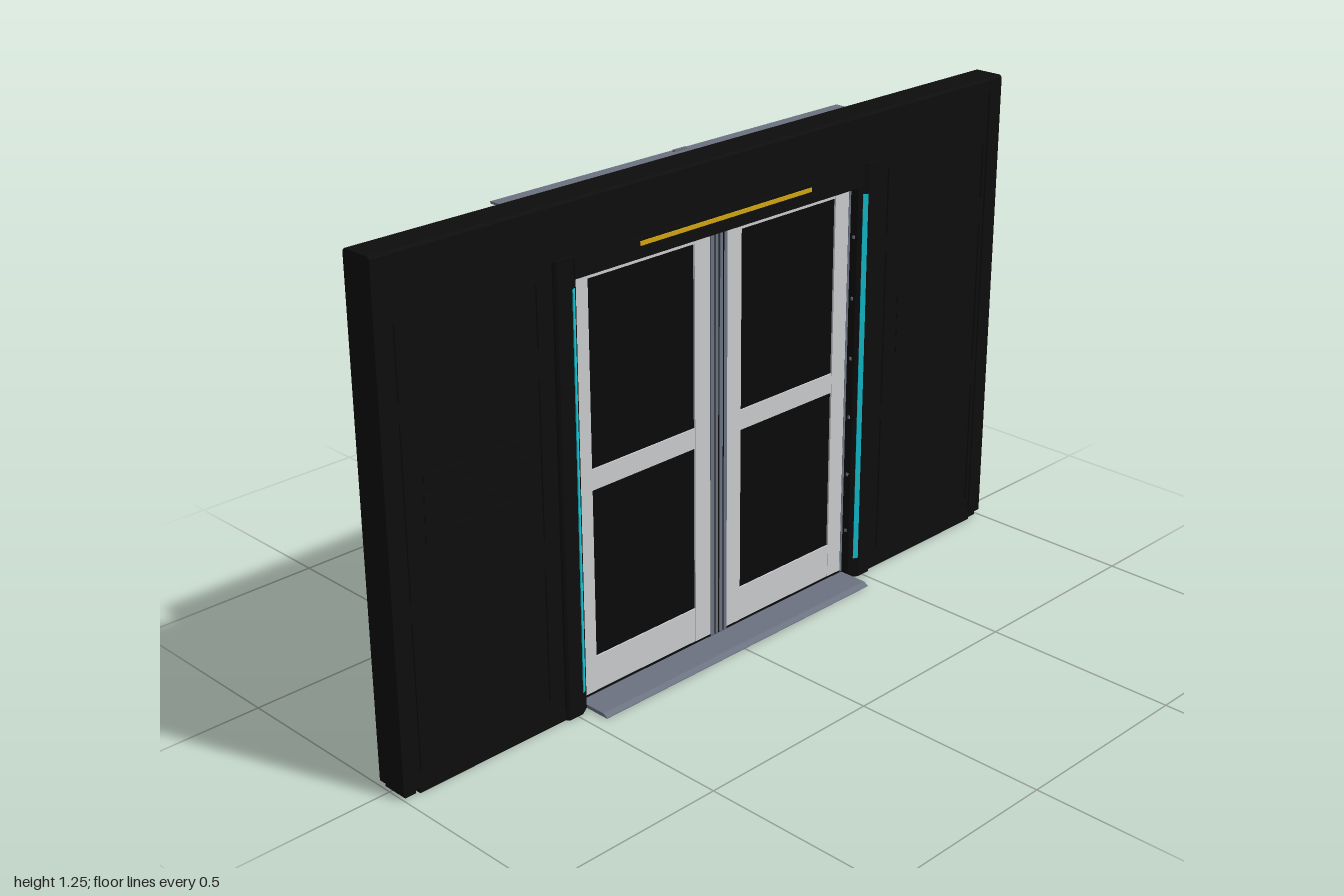
import * as THREE from 'three';

const mat = (name, color) => Object.assign(new THREE.MeshStandardMaterial({ color }), { name });

export function createModel() {
  const black = mat('wall black', 0x0d0d0e);
  const glass = mat('dark glass', 0x090a0a);
  const silver = mat('door silver', 0xcacbce);
  const steel = mat('blue steel', 0x6b7280);
  const cyan = mat('cyan light', 0x14c3d2);
  const yellow = mat('yellow light', 0xd2a50f);

  const root = new THREE.Group();
  root.name = 'slidingDoorWall';
  const body = new THREE.Group();
  body.name = 'wallAssembly';
  body.position.z = 0.01; // mid-plane of the wall
  root.add(body);

  const add = (name, geo, m) => {
    const mesh = new THREE.Mesh(geo, m);
    mesh.name = name;
    body.add(mesh);
    return mesh;
  };
  // box given by its extents
  const box = (name, m, x0, x1, y0, y1, z0, z1) => {
    const a = Math.min(x0, x1), b = Math.max(x0, x1), c = Math.min(z0, z1), d = Math.max(z0, z1);
    const g = new THREE.BoxGeometry(b - a, y1 - y0, d - c);
    g.translate((a + b) / 2, (y0 + y1) / 2, (c + d) / 2);
    return add(name, g, m);
  };
  const shapeOf = (pts) => new THREE.Shape(pts.map(([x, y]) => new THREE.Vector2(x, y)));
  // upright prism from an x/z outline
  const prism = (name, m, pts, y0, y1) => {
    const g = new THREE.ExtrudeGeometry(shapeOf(pts.map(([x, z]) => [x, -z])), { depth: y1 - y0, bevelEnabled: false });
    g.rotateX(-Math.PI / 2).translate(0, y0, 0);
    return add(name, g, m);
  };
  // bar along x from a z/y outline
  const bar = (name, m, pts, halfLength) => {
    const g = new THREE.ExtrudeGeometry(shapeOf(pts.map(([z, y]) => [-z, y])), { depth: halfLength * 2, bevelEnabled: false });
    g.rotateY(Math.PI / 2).translate(-halfLength, 0, 0);
    return add(name, g, m);
  };
  // raised rectangular border
  const border = (name, x0, x1, y0, y1, w, z, depth) => {
    const rect = (i) => [[x0 + i, y0 + i], [x1 - i, y0 + i], [x1 - i, y1 - i], [x0 + i, y1 - i]];
    const s = shapeOf(rect(0));
    s.holes.push(shapeOf(rect(w)));
    const g = new THREE.ExtrudeGeometry(s, { depth, bevelEnabled: false });
    g.translate(0, 0, z);
    return add(name, g, black);
  };

  // wall shell, open at the back along the top for the sliding track
  bar('topCap', black, [[-0.043, 1.21], [0.043, 1.21], [0.043, 1.239], [0.037, 1.245], [-0.037, 1.245], [-0.043, 1.239]], 1);
  box('headerPanel', black, -0.96, 0.96, 1.065, 1.21, 0, 0.039);
  box('headerBack', black, -0.96, 0.96, 1.065, 1.115, -0.04, 0);
  for (const s of [-1, 1]) {
    box('endPost', black, s * 0.955, s, 0.015, 1.21, -0.043, 0.043);
    box('postFoot', black, s * 0.962, s * 0.992, 0, 0.015, -0.035, 0.035);
    box('sidePanel', black, s * 0.5, s * 0.956, 0.01, 1.07, -0.039, 0.039);
    box('baseRail', black, s * 0.53, s * 0.956, 0, 0.03, -0.042, 0.042);
  }

  // side panel borders and louvres, front and back
  for (const s of [-1, 1]) for (const f of [-1, 1]) {
    const xa = s > 0 ? 0.565 : -0.95, xb = xa + 0.385;
    const z = f > 0 ? 0.038 : -0.043;
    for (const [y0, y1] of [[0.055, 0.42], [0.465, 0.875], [0.92, 1.09]]) {
      border('panelBorder', xa, xb, y0, y1, 0.012, z, 0.005);
    }
    for (let i = 0; i < 4; i++) {
      const y = 0.59 + i * 0.045;
      box('louvre', black, xa + 0.05, xb - 0.05, y, y + 0.018, f * 0.036, f * 0.044);
    }
  }

  // door jambs with sloped reveals and light strips
  const slope = (x) => 0.035 + (x - 0.46) * 0.6;
  for (const s of [-1, 1]) {
    prism('doorJamb', black, [[0.46, -0.035], [0.485, -0.05], [0.525, -0.05], [0.53, -0.045],
      [0.53, 0.045], [0.525, 0.05], [0.485, 0.05], [0.46, 0.035]].map(([x, z]) => [s * x, z]), 0, 1.12);
    for (const f of [-1, 1]) {
      const strip = [[0.471, 0.002], [0.482, 0.002], [0.482, -0.002], [0.471, -0.002]];
      prism('jambLight', cyan, strip.map(([x, o]) => [s * (x - o * 0.5), f * (slope(x) + o)]), 0.055, 1.045);
      for (let i = 0; i < 6; i++) {
        const y = 0.13 + i * 0.16;
        box('jambStud', steel, s * 0.457, s * 0.461, y, y + 0.008, f * 0.022, f * 0.028);
      }
    }
  }
  for (const f of [-1, 1]) {
    box('doorHeader', black, -0.47, 0.47, 1.065, 1.114, f * 0.02, f * 0.045);
    box('headerLight', yellow, -0.278, 0.278, 1.095, 1.105, f * 0.043, f * 0.048);
    box('openingLight', cyan, -0.45, 0.45, 1.061, 1.066, f * 0.014, f * 0.019);
  }

  // two glazed sliding leaves
  for (const s of [-1, 1]) {
    const d = 0.012;
    box('doorGlass', glass, s * 0.07, s * 0.41, 0.09, 1.05, -0.007, 0.007);
    box('outerStile', silver, s * 0.405, s * 0.455, 0.015, 1.064, -d, d);
    box('innerStile', silver, s * 0.026, s * 0.077, 0.015, 1.064, -d, d);
    box('outerEdge', steel, s * 0.453, s * 0.462, 0.012, 1.065, -0.013, 0.013);
    box('meetingEdge', steel, s * 0.003, s * 0.027, 0.012, 1.065, -0.015, 0.015);
    box('meetingGroove', glass, s * 0.0125, s * 0.0155, 0.013, 1.064, -0.0155, 0.0155);
    for (const [y0, y1] of [[0.015, 0.105], [0.533, 0.585], [1.042, 1.064]]) {
      box('doorRail', silver, s * 0.07, s * 0.41, y0, y1, -0.011, 0.011);
    }
  }
  box('centreSeal', glass, -0.004, 0.004, 0.012, 1.065, -0.012, 0.012);

  // threshold plate with tapered edges
  bar('threshold', steel, [[-0.105, 0], [0.105, 0], [0.105, 0.002], [0.092, 0.009], [-0.092, 0.009], [-0.105, 0.002]], 0.46);
  box('floorGuide', black, -0.46, 0.46, 0.008, 0.014, -0.012, 0.012);

  // sliding track in the back recess
  bar('slidingTrack', steel, [[0, 1.188], [-0.022, 1.188], [-0.022, 1.182], [-0.01, 1.182], [-0.01, 1.148],
    [-0.03, 1.142], [-0.03, 1.126], [-0.024, 1.126], [-0.024, 1.136], [0, 1.136]], 0.945);
  box('lowerRail', steel, -0.945, 0.945, 1.116, 1.122, -0.034, -0.006);
  for (const s of [-1, 1]) {
    box('trackEnd', steel, s * 0.925, s * 0.948, 1.118, 1.19, -0.034, 0);
    for (const x of [0.08, 0.23, 0.39]) {
      box('rollerCarriage', steel, s * (x - 0.035), s * (x + 0.035), 1.11, 1.15, -0.045, -0.01);
      box('carriageClip', black, s * (x - 0.012), s * (x + 0.012), 1.12, 1.14, -0.047, -0.04);
    }
  }

  // raised track cover
  box('trackCover', steel, -0.555, 0.555, 1.216, 1.221, -0.125, -0.04);
  box('coverCatch', steel, -0.02, 0.02, 1.221, 1.226, -0.116, -0.11);

  // wall switch on the back
  box('switchPlate', steel, 0.496, 0.516, 0.49, 0.53, -0.053, -0.048);
  box('switchButton', black, 0.501, 0.511, 0.505, 0.518, -0.055, -0.052);

  return root;
}
